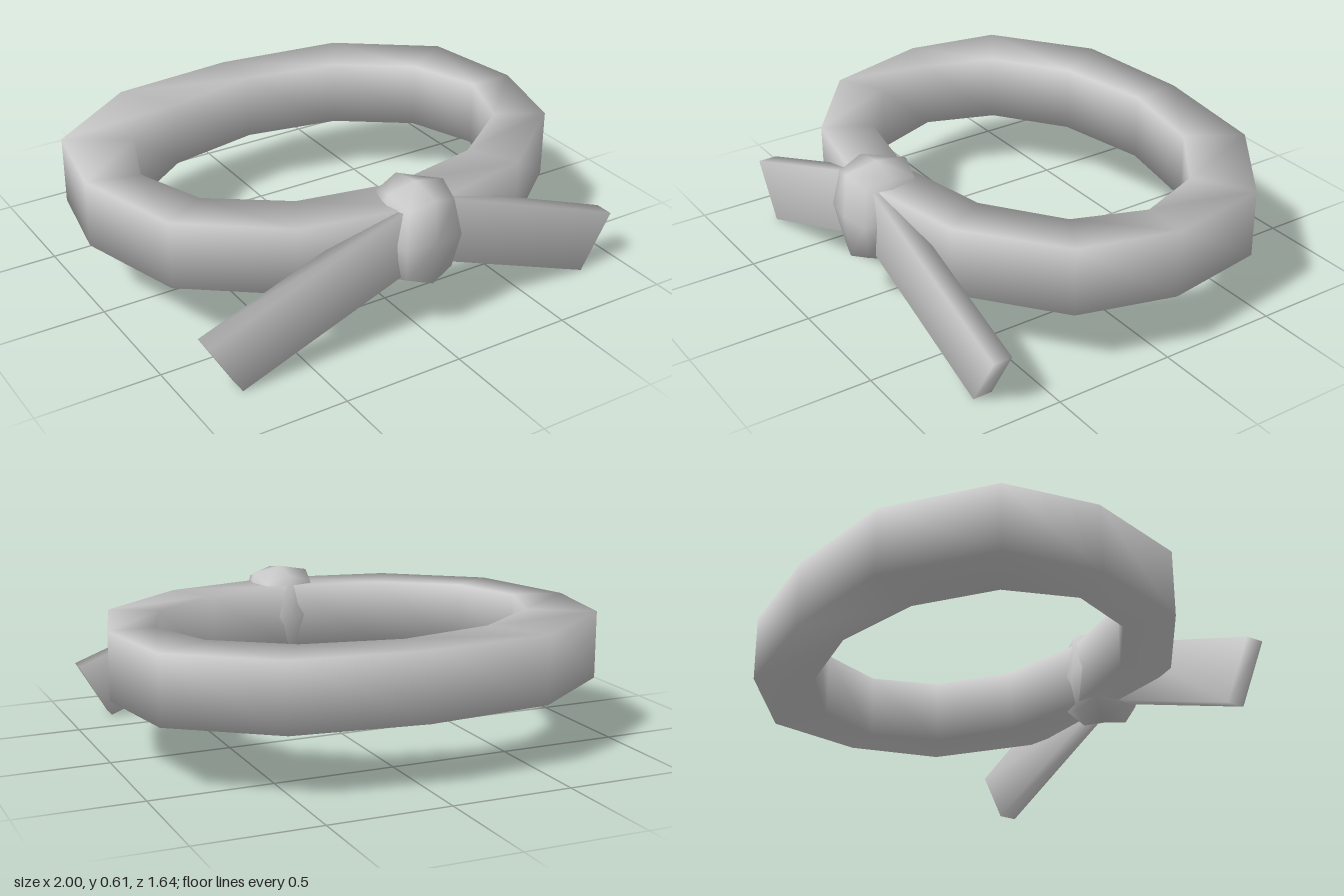
import * as THREE from 'three';
import { mergeVertices } from 'three/addons/utils/BufferGeometryUtils.js';

const material = new THREE.MeshStandardMaterial({ color: 0xcccccc });

// Weld shared corners so the shading runs softly over the edges
function soften(geometry) {
  geometry.deleteAttribute('normal');
  geometry.deleteAttribute('uv');
  const welded = mergeVertices(geometry, 1e-4);
  welded.computeVertexNormals();
  return welded;
}

function addPart(group, name, geometry) {
  const mesh = new THREE.Mesh(geometry, material);
  mesh.name = name;
  group.add(mesh);
  return mesh;
}

// Twelve-sided oval band with a square-cornered section
function bandGeometry(bottom, top) {
  // outer outline [x, z], clockwise from the back
  const outer = [
    [0, -0.82], [0.54, -0.75], [0.93, -0.46], [1, -0.03], [0.89, 0.36], [0.52, 0.65],
    [0.01, 0.75], [-0.49, 0.65], [-0.87, 0.36], [-1, -0.09], [-0.93, -0.48], [-0.53, -0.77],
  ];
  const n = outer.length, positions = [], index = [];
  outer.forEach(([x, z], i) => {
    const a = (i / n) * Math.PI * 2;
    const ix = 0.01 + 0.8 * Math.sin(a), iz = -0.035 - 0.575 * Math.cos(a);
    positions.push(x, top, z, ix, top, iz, ix, bottom, iz, x, bottom, z);
    for (let k = 0; k < 4; k++) {
      const next = ((i + 1) % n) * 4, l = (k + 1) % 4;
      const p = i * 4 + k, q = i * 4 + l, r = next + l, s = next + k;
      index.push(p, q, r, p, r, s);
    }
  });
  const geometry = new THREE.BufferGeometry();
  geometry.setAttribute('position', new THREE.Float32BufferAttribute(positions, 3));
  geometry.setIndex(index);
  geometry.computeVertexNormals();
  return geometry;
}

// Rounded knot: a 2x2 cube with its corners and edges drawn in
function knotGeometry() {
  const geometry = new THREE.BoxGeometry(2, 2, 2, 2, 2, 2);
  const pos = geometry.attributes.position;
  const pull = [0, 1, 0.88, 0.72];
  for (let i = 0; i < pos.count; i++) {
    const v = new THREE.Vector3().fromBufferAttribute(pos, i);
    const f = pull[Math.round(v.lengthSq())];
    pos.setXYZ(i, v.x * 0.143 * f, v.y * 0.203 * f, v.z * 0.15 * f);
  }
  return soften(geometry);
}

// Flat hanging end, side = 1 for the left and -1 for the right
function tailGeometry(side) {
  const outline = [[0.09, 0.27], [0.8, 0], [0.935, 0.23], [0.09, 0.545]];
  const shape = new THREE.Shape(outline.map(([x, y]) => new THREE.Vector2(0.01 + side * x, y)));
  const geometry = new THREE.ExtrudeGeometry(shape, { depth: 0.08, bevelEnabled: false });
  geometry.translate(0, 0, 0.67);
  return soften(geometry);
}

export function createModel() {
  const group = new THREE.Group();
  group.name = 'knottedBelt';
  addPart(group, 'band', bandGeometry(0.26, 0.54));
  addPart(group, 'knot', knotGeometry()).position.set(0.01, 0.405, 0.67);
  addPart(group, 'leftTail', tailGeometry(1));
  addPart(group, 'rightTail', tailGeometry(-1));
  return group;
}
